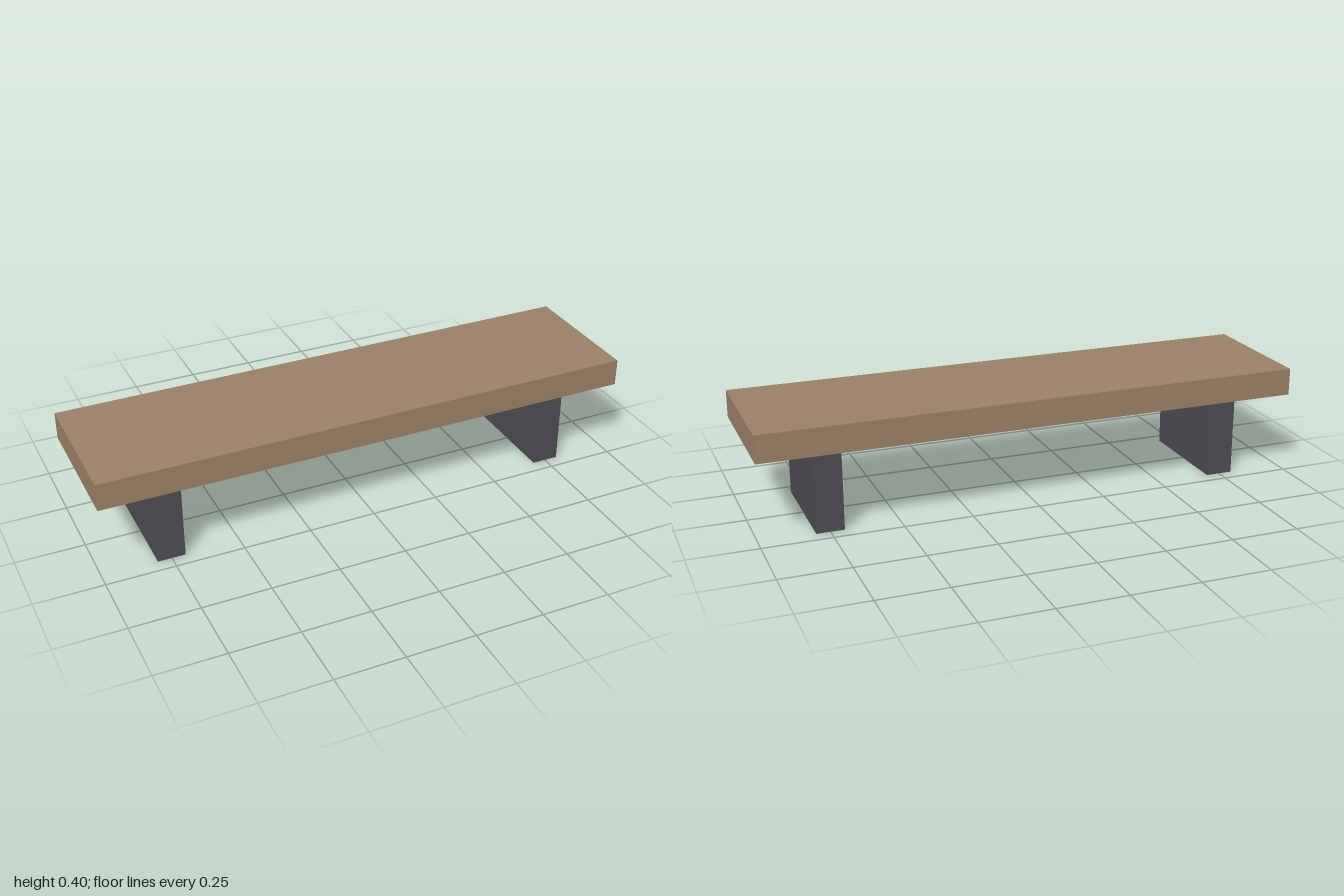
import * as THREE from 'three';

export function createModel() {
  const bench = new THREE.Group();
  bench.name = 'bench';

  const material = (name, color) => {
    const m = new THREE.MeshStandardMaterial({ color });
    m.name = name;
    return m;
  };
  const brownWood = material('brown wood', 0x997f66);
  const darkGrey = material('dark grey', 0x4d4d52);
  const paleWood = material('pale wood', 0xbfb399);

  // Box placed by its centre in x and its underside in y
  const addBox = (name, mat, width, height, depth, x, bottom) => {
    const mesh = new THREE.Mesh(new THREE.BoxGeometry(width, height, depth), mat);
    mesh.name = name;
    mesh.position.set(x, bottom + height / 2, 0);
    bench.add(mesh);
  };

  // Thick plank seat
  addBox('seat', brownWood, 2, 0.1, 0.5, 0, 0.3);

  // Slab legs
  for (const side of [1, -1]) {
    addBox(side > 0 ? 'leftLeg' : 'rightLeg', darkGrey, 0.1, 0.3, 0.4, side * 0.75, 0);
  }

  // Rail under the seat, passing through both legs
  addBox('rail', paleWood, 1.75, 0.03, 0.075, 0, 0.27);

  return bench;
}
